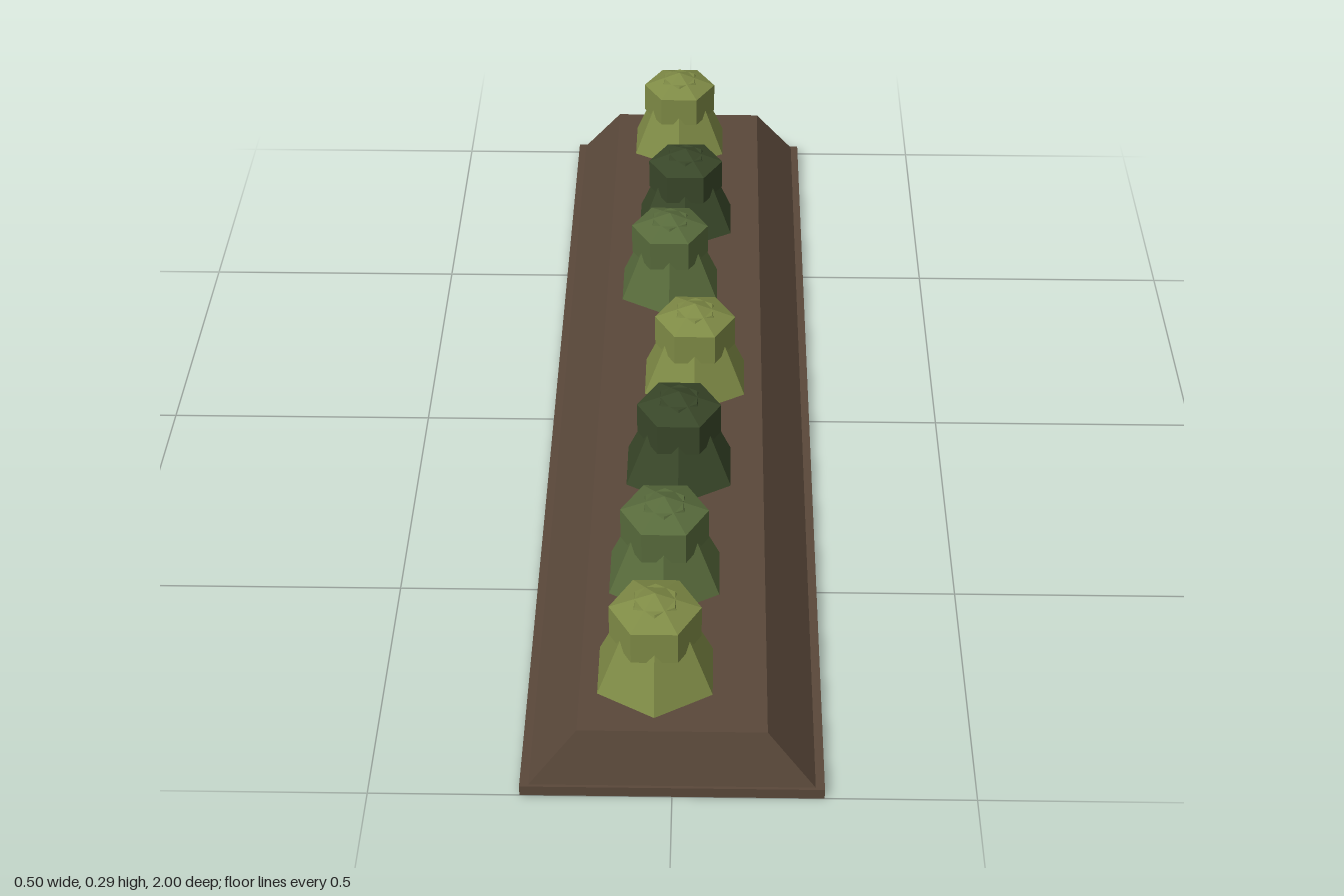
import * as THREE from 'three';

const flat = (name, color) => {
  const m = new THREE.MeshStandardMaterial({ color, flatShading: true });
  m.name = name;
  return m;
};

export function createModel() {
  const soil = flat('soil brown', 0x5a483a);
  const greens = {
    light: flat('light green', 0x7f8b46),
    mid: flat('mid green', 0x586b3c),
    dark: flat('dark green', 0x394729),
  };
  const group = new THREE.Group();
  group.name = 'plantRow';

  const add = (parent, name, geometry, material, y) => {
    const mesh = new THREE.Mesh(geometry, material);
    mesh.name = name;
    mesh.position.y = y;
    parent.add(mesh);
    return mesh;
  };

  // Thin slab under the bed
  add(group, 'baseSlab', new THREE.BoxGeometry(0.5, 0.02, 2), soil, 0.01);

  // Raised bed: a box whose upper corners are drawn inward
  const bed = new THREE.BoxGeometry(0.47, 0.1, 1.99);
  const p = bed.attributes.position;
  for (let i = 0; i < p.count; i++) {
    if (p.getY(i) > 0) {
      p.setX(i, Math.sign(p.getX(i)) * 0.155);
      p.setZ(i, Math.sign(p.getZ(i)) * 0.97);
    }
  }
  bed.computeVertexNormals();
  add(group, 'raisedBed', bed, soil, 0.07);

  // Plants: hexagonal tapered foot with a squashed faceted crown
  const footGeometry = new THREE.CylinderGeometry(0.038, 0.11, 0.16, 6);
  const crownGeometry = new THREE.SphereGeometry(0.088, 6, 3).scale(1, 0.7, 1);
  const plants = [
    [-0.03, 0.83, 'light'],
    [-0.02, 0.585, 'mid'],
    [0, 0.29, 'dark'],
    [0.026, 0.016, 'light'],
    [-0.028, -0.297, 'mid'],
    [0, -0.542, 'dark'],
    [-0.018, -0.857, 'light'],
  ];
  for (const [x, z, tone] of plants) {
    const plant = new THREE.Group();
    plant.name = 'plant';
    plant.position.set(x, 0, z);
    add(plant, 'plantFoot', footGeometry, greens[tone], 0.2);
    add(plant, 'plantCrown', crownGeometry, greens[tone], 0.232);
    group.add(plant);
  }
  return group;
}
